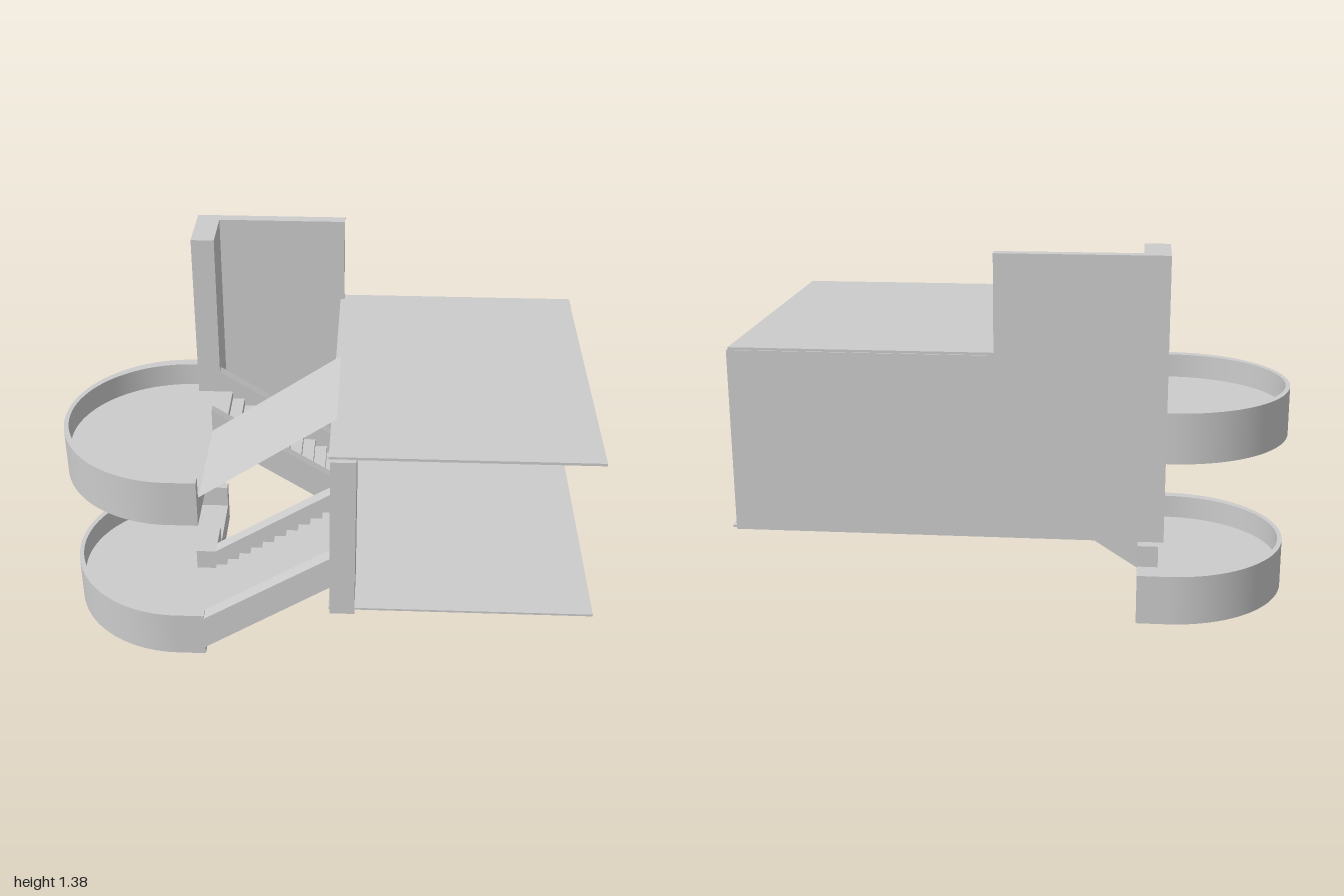
import * as THREE from 'three';
import { toCreasedNormals } from 'three/addons/utils/BufferGeometryUtils.js';

const material = new THREE.MeshStandardMaterial({ color: 0xcccccc, side: THREE.DoubleSide });

export function createModel() {
  const model = new THREE.Group();

  const add = (name, geometry, parent = model) => {
    const mesh = new THREE.Mesh(geometry, material);
    mesh.name = name;
    parent.add(mesh);
    return mesh;
  };

  // Box given by its two extremes on each axis
  const box = (name, x0, x1, y0, y1, z0, z1) => {
    const g = new THREE.BoxGeometry(x1 - x0, y1 - y0, z1 - z0);
    g.translate((x0 + x1) / 2, (y0 + y1) / 2, (z0 + z1) / 2);
    return add(name, g);
  };

  // Side profile in x, y swept from z0 to z1
  const sweep = (name, points, z0, z1) => {
    const shape = new THREE.Shape(points.map(([x, y]) => new THREE.Vector2(x, y)));
    const g = new THREE.ExtrudeGeometry(shape, { depth: z1 - z0, bevelEnabled: false });
    g.translate(0, 0, z0);
    return add(name, g);
  };

  // Room slabs and walls
  box('roomFloor', 0.045, 1.0, 0.384, 0.392, -0.62, 0.6);
  box('roomRoof', 0.045, 0.98, 1.035, 1.045, -0.62, 0.6);
  box('backWall', 0.06, 0.985, 0.38, 1.036, -0.625, -0.58);
  box('towerBackWall', -0.53, 0.06, 0.38, 1.385, -0.625, -0.58);
  box('towerSideWall', -0.53, -0.44, 0.38, 1.385, -0.58, -0.38);

  // Columns, with a lintel over the niche at the back
  box('frontColumn', 0.05, 0.14, 0.38, 1.036, 0.38, 0.62);
  for (const x of [0.05, 0.525]) box('backColumn', x, x + 0.09, 0.38, 1.036, -0.58, -0.38);
  box('nicheLintel', 0.14, 0.525, 0.93, 1.036, -0.58, -0.38);

  // Half-round balcony: a floor inside a raised curved wall
  const edge = -0.44, cx = -0.55, cy = 0.0225;
  const quarter = Math.PI / 2;
  const raise = (shape, y, height) => {
    const g = new THREE.ExtrudeGeometry(shape, { depth: height, bevelEnabled: false, curveSegments: 48 });
    g.rotateX(-quarter);
    g.translate(0, y, 0);
    return toCreasedNormals(g, 0.5);
  };
  const balcony = (name, y, wallEnd) => {
    const group = new THREE.Group();
    group.name = name;
    const floor = new THREE.Shape();
    floor.moveTo(edge, cy + 0.43);
    floor.lineTo(cx, cy + 0.43);
    floor.absellipse(cx, cy, 0.44, 0.43, quarter, 3 * quarter, false);
    floor.lineTo(edge, cy - 0.43);
    add('balconyFloor', raise(floor, y, 0.093), group);

    const wall = new THREE.Shape();
    wall.moveTo(wallEnd, cy + 0.4525);
    wall.lineTo(cx, cy + 0.4525);
    wall.absellipse(cx, cy, 0.45, 0.4525, quarter, 3 * quarter, false);
    wall.lineTo(edge, cy - 0.4525);
    wall.lineTo(edge, cy - 0.413);
    wall.lineTo(cx, cy - 0.413);
    wall.absellipse(cx, cy, 0.433, 0.413, 3 * quarter, quarter, true);
    wall.lineTo(wallEnd, cy + 0.413);
    add('balconyWall', raise(wall, y, 0.187), group);
    model.add(group);
  };
  balcony('lowerBalcony', 0, edge);
  balcony('upperBalcony', 0.617, -0.53);

  // Folded flight of steps, from (x0, y0) to (x1, y1)
  const flight = (name, x0, y0, x1, y1, z0, z1, steps = 10) => {
    const dx = (x1 - x0) / steps, dy = (y1 - y0) / steps;
    const top = [[x0, y0]], under = [];
    for (let i = 0; i < steps; i++) {
      top.push([x0 + i * dx, y0 + (i + 1) * dy], [x0 + (i + 1) * dx, y0 + (i + 1) * dy]);
      under.push([x0 + (i + 0.25) * dx, y0 + (i - 0.3) * dy], [x0 + (i + 0.25) * dx, y0 + (i + 0.7) * dy]);
    }
    under.push([x1, y0 + (steps - 0.3) * dy]);
    sweep(name, [...top, ...under.reverse()], z0, z1);
  };
  flight('lowerSteps', edge, 0.08, 0.047, 0.39, 0.01, 0.38);
  flight('upperSteps', 0.047, 0.39, edge, 0.71, -0.38, -0.115);

  // Sloping parapets either side of each flight
  const lowerSide = [[edge, 0.038], [0.05, 0.355], [0.05, 0.49], [edge, 0.18]];
  const upperSide = [[edge, 0.67], [0.05, 0.355], [0.05, 0.49], [edge, 0.802]];
  sweep('lowerOuterParapet', lowerSide, 0.38, 0.437);
  sweep('lowerInnerParapet', lowerSide, -0.045, 0.01);
  sweep('upperInnerParapet', upperSide, -0.115, -0.076);
  sweep('upperOuterParapet', upperSide, -0.422, -0.38);

  // Parapet returns at the landing and on the lower balcony
  box('landingParapetReturn', 0.04, 0.095, 0.388, 0.49, -0.115, 0.01);
  box('balconyParapetReturn', -0.52, edge, 0.09, 0.178, -0.165, 0.01);

  // Thin slope rising from the upper balcony to the roof
  const rise = 0.35, run = 0.505;
  const slope = new THREE.PlaneGeometry(Math.hypot(rise, run), 0.457);
  slope.rotateX(-quarter);
  slope.rotateZ(Math.atan2(rise, run));
  slope.translate(edge + run / 2, 0.71 + rise / 2, 0.153);
  add('roofSlope', slope);

  return model;
}
